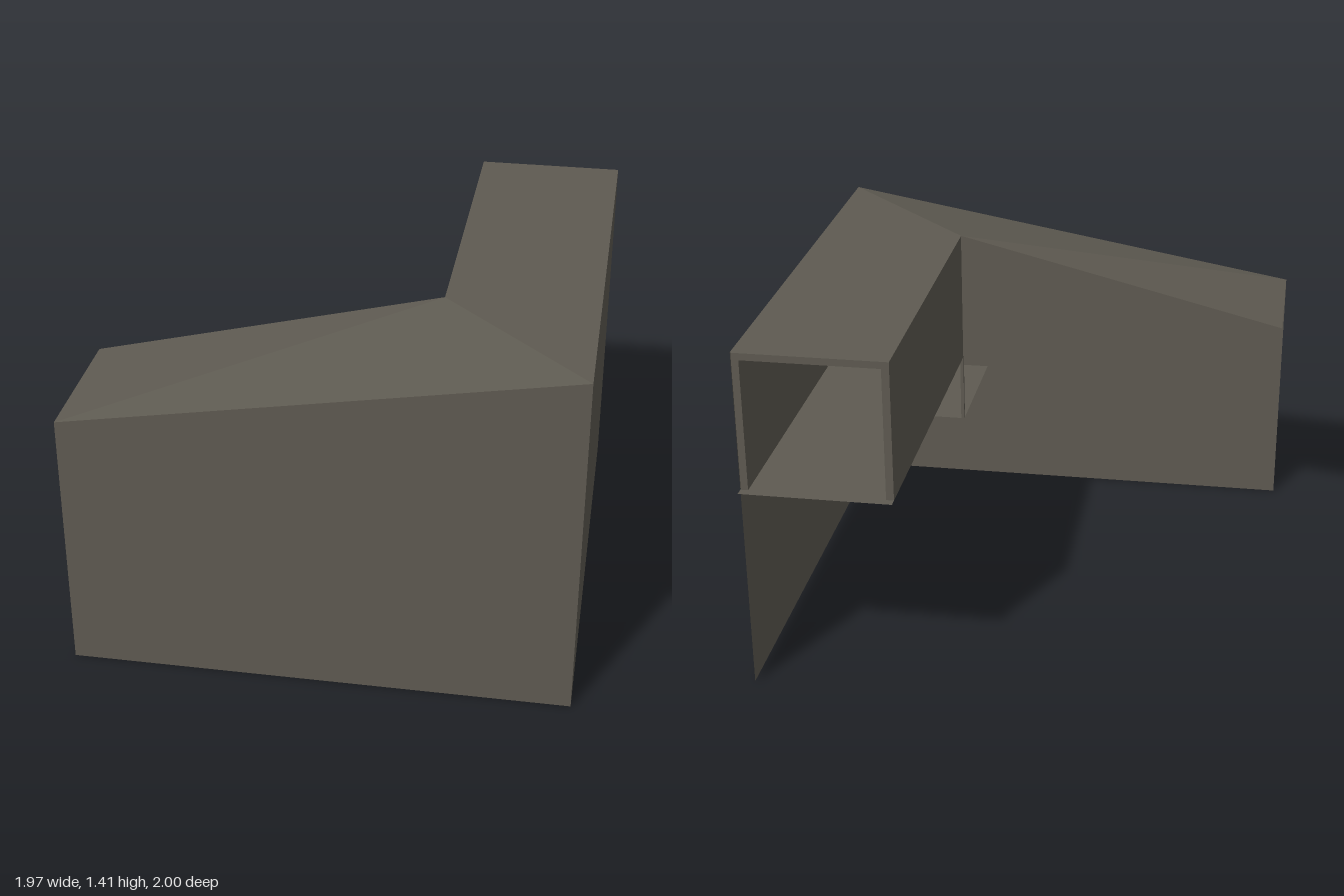
import * as THREE from 'three';

export function createModel() {
  const group = new THREE.Group();
  const stone = new THREE.MeshStandardMaterial({ color: 0x5e5a51, side: THREE.DoubleSide });
  stone.name = 'weathered stone';

  const left = -0.985, right = 0.98, inner = 0.39;      // x of the wings
  const front = 1, frontInner = 0.41, back = -0.965;    // z of the wings
  const top = 1.41, low = 1.07, floorY = 0.85, ledgeY = 0.555;

  // Thin flat panel from an ordered loop of corners
  function panel(name, ...corners) {
    const geometry = new THREE.BufferGeometry();
    const points = [];
    for (let i = 1; i < corners.length - 1; i++) points.push(...corners[0], ...corners[i], ...corners[i + 1]);
    geometry.setAttribute('position', new THREE.Float32BufferAttribute(points, 3));
    geometry.computeVertexNormals();
    add(name, geometry);
  }
  function add(name, geometry) {
    const mesh = new THREE.Mesh(geometry, stone);
    mesh.name = name;
    group.add(mesh);
    return mesh;
  }
  // Box between two opposite corners
  function box(name, x0, y0, z0, x1, y1, z1) {
    add(name, new THREE.BoxGeometry(x1 - x0, y1 - y0, z1 - z0))
      .position.set((x0 + x1) / 2, (y0 + y1) / 2, (z0 + z1) / 2);
  }

  // Outer walls
  panel('frontWall', [left, 0, front], [right, 0, front], [right, top, front], [left, low, front]);
  panel('rightWall', [right, 0, front], [right, 0, back], [right, top, back], [right, top, front]);

  // Roofs: level over the passage, falling away along the front wing
  panel('passageRoof', [right, top, front], [right, top, back], [inner, top, back], [inner, top, frontInner]);
  panel('slopingRoof', [left, low, front], [right, top, front], [inner, top, frontInner], [left, low, frontInner]);

  // Lining of the passage: two side walls and a ceiling, open at the back
  const t = 0.03, e = 0.002;
  box('innerPassageWall', inner, floorY, back, inner + t, top - e, frontInner);
  box('outerPassageWall', right - t, floorY, back, right - e, top - e, frontInner);
  box('passageCeiling', inner + t, top - t, back, right - t, top - e, frontInner);

  // Passage floor, sticking out slightly at the back
  panel('passageFloor', [inner, floorY, frontInner], [right, floorY, frontInner],
    [right, floorY, -1], [inner, floorY, -1]);

  // Lower landing in the corner, hung from posts
  panel('cornerLanding', [inner, ledgeY, front], [right, ledgeY, front],
    [right, ledgeY, frontInner], [inner, ledgeY, frontInner]);
  for (const x of [inner, (inner + right) / 2, right - 0.016]) {
    box('landingPost', x, ledgeY, frontInner, x + 0.014, floorY, frontInner + 0.014);
  }

  return group;
}
